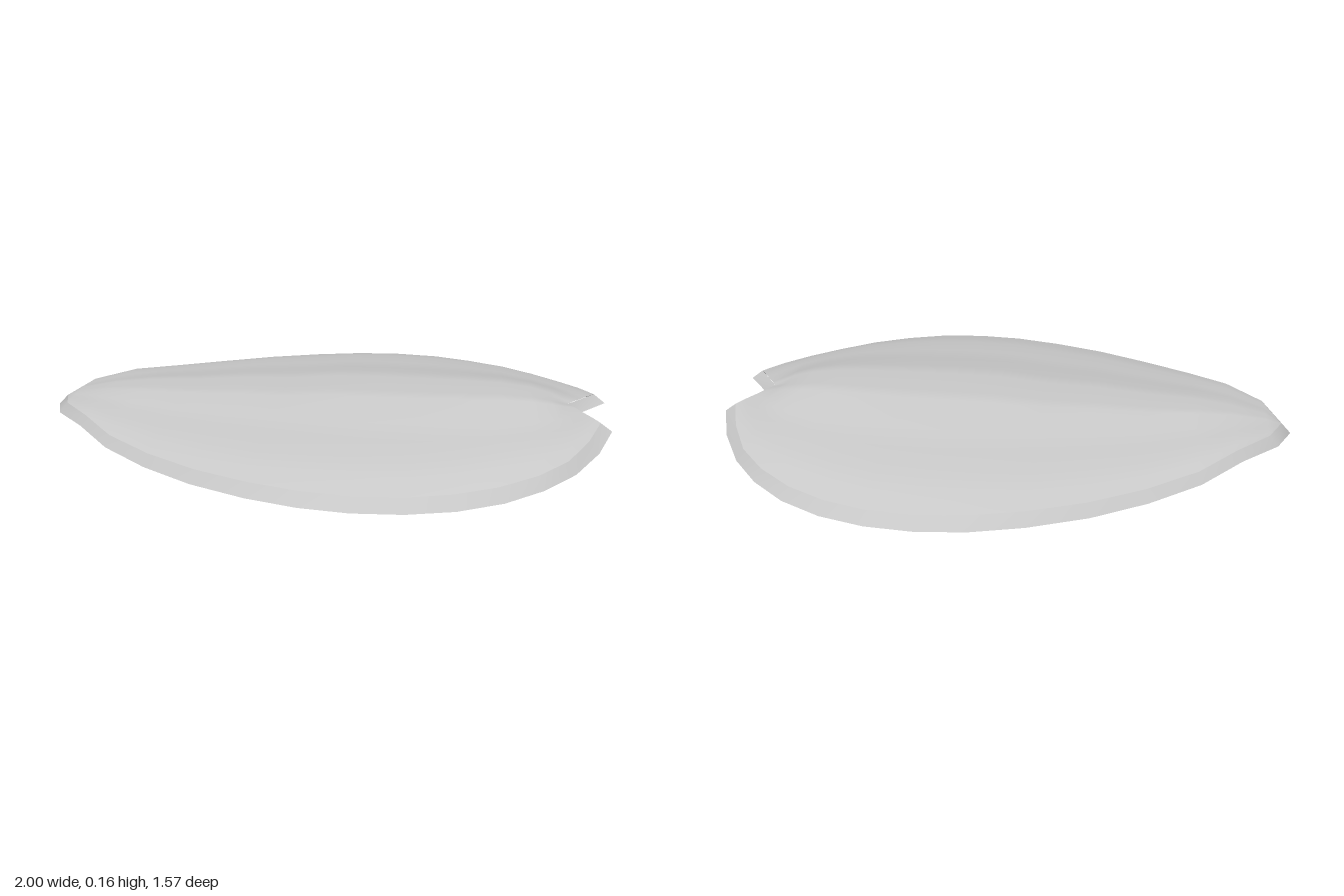
import * as THREE from 'three';
import { toCreasedNormals } from 'three/addons/utils/BufferGeometryUtils.js';

// Upper edge stations, tip to notch: x, half width, edge height, crown height, inward shift of the middle
const top = [
  [-0.965, 0, 0.05, 0.05, 0], [-0.91, 0.145, 0.07, 0.078, 0], [-0.79, 0.28, 0.075, 0.1, 0],
  [-0.66, 0.41, 0.057, 0.112, 0], [-0.49, 0.53, 0.048, 0.117, 0], [-0.31, 0.63, 0.045, 0.13, 0],
  [-0.13, 0.7, 0.044, 0.135, 0], [0.04, 0.745, 0.044, 0.15, 0], [0.2, 0.76, 0.044, 0.153, 0],
  [0.36, 0.745, 0.044, 0.154, 0], [0.5, 0.7, 0.044, 0.155, 0], [0.63, 0.63, 0.046, 0.155, 0],
  [0.75, 0.53, 0.05, 0.147, 0.02], [0.845, 0.42, 0.06, 0.133, 0.05], [0.915, 0.285, 0.08, 0.12, 0.09],
  [0.96, 0.155, 0.1, 0.11, 0.1],
];
// Lower edge of the rim at the same stations: x, half width, height
const low = [
  [-1, 0, 0.015], [-0.94, 0.15, 0.033], [-0.81, 0.29, 0.04], [-0.67, 0.43, 0.02],
  [-0.5, 0.55, 0.008], [-0.32, 0.65, 0.002], [-0.13, 0.725, 0], [0.04, 0.77, 0],
  [0.2, 0.785, 0], [0.36, 0.77, 0], [0.51, 0.725, 0], [0.65, 0.65, 0.003],
  [0.77, 0.55, 0.01], [0.87, 0.43, 0.02], [0.95, 0.29, 0.042], [1, 0.15, 0.07],
];
// Crown profile from the middle out to the edge: fraction of width, fraction of rise
const crown = [[0, 1], [0.1, 1], [0.2, 0.99], [0.42, 0.66], [0.58, 0.53], [0.75, 0.41], [0.88, 0.22], [1, 0]];

// Surface through rows of points, all of equal length
function skin(rows) {
  const n = rows[0].length, index = [];
  for (let i = 0; i < rows.length - 1; i++) {
    for (let j = 0; j < n - 1; j++) {
      const a = i * n + j, b = a + n;
      index.push(a, a + 1, b, b, a + 1, b + 1);
    }
  }
  const g = new THREE.BufferGeometry();
  g.setAttribute('position', new THREE.Float32BufferAttribute(rows.flat(2), 3));
  g.setIndex(index);
  g.computeVertexNormals();
  return g;
}

export function createModel() {
  const group = new THREE.Group();
  group.name = 'petal';
  const material = new THREE.MeshStandardMaterial({ color: 0xcccccc, side: THREE.DoubleSide });
  const add = (name, geometry) => {
    const mesh = new THREE.Mesh(geometry, material);
    mesh.name = name;
    group.add(mesh);
  };

  // Domed upper skin, mirrored across z
  const columns = [...crown.slice(1).reverse().map(([t, r]) => [-t, r]), ...crown];
  add('petalSurface', skin(top.map(([x, w, edge, mid, shift]) =>
    columns.map(([t, r]) => [x - shift * (1 - Math.abs(t)), edge + (mid - edge) * r, t * w]))));

  // Sloping rim, once around from the notch; open underneath
  const around = (half, notch) => [
    notch,
    ...half.map(([x, w, y]) => [x, y, -w]).reverse(),
    ...half.slice(1).map(([x, w, y]) => [x, y, w]),
    notch,
  ];
  const upper = around(top, [0.86, 0.11, 0]);
  const lower = around(low, [0.89, 0.072, 0]);
  add('petalRim', toCreasedNormals(skin([upper, lower]), 0.6));
  return group;
}
